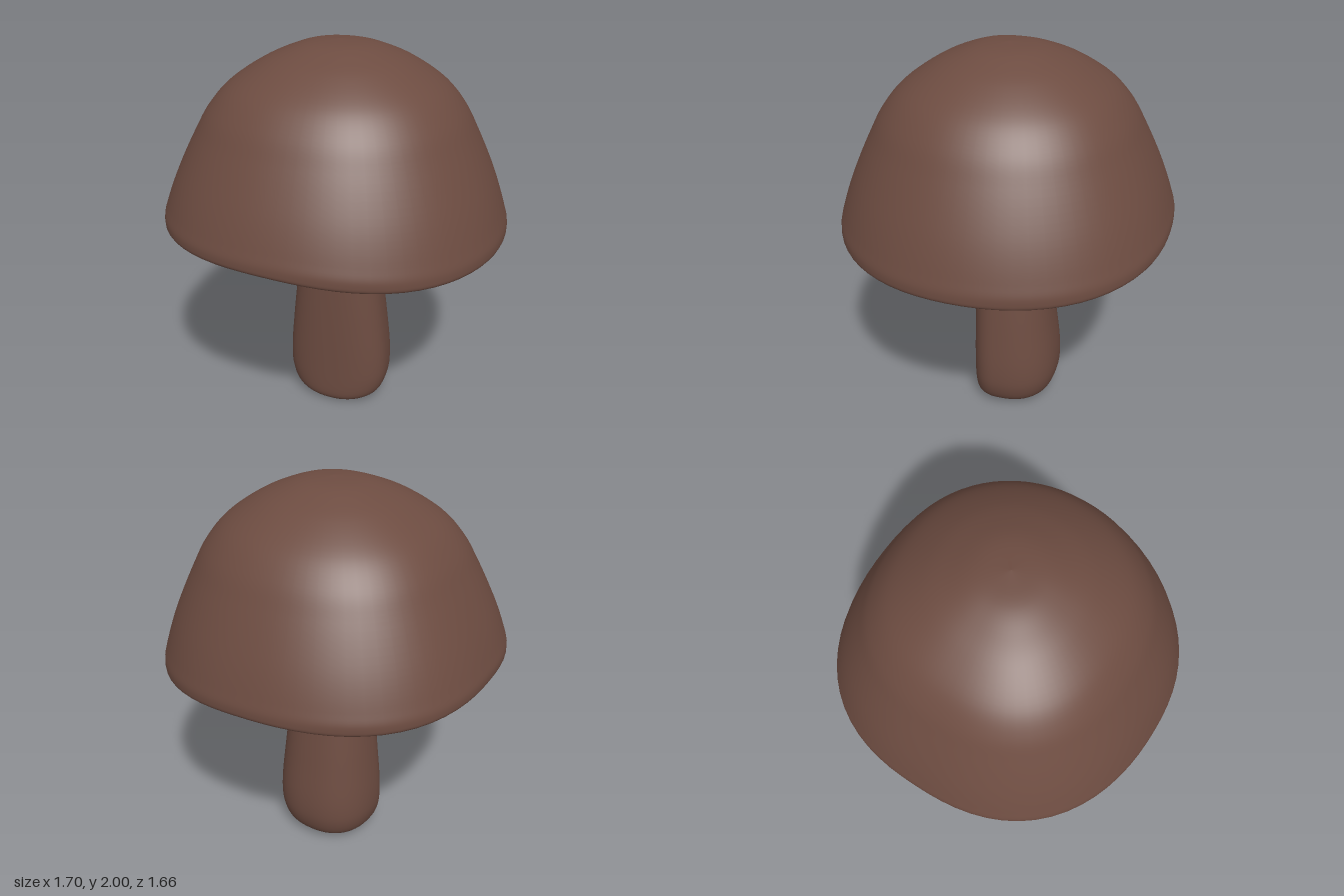
import * as THREE from 'three';

const SEGMENTS = 72;

// Radius of a superellipse with half-axes a and b in direction t
function superRadius(a, b, n, t) {
  const c = Math.abs(Math.cos(t)), s = Math.abs(Math.sin(t));
  if (a < 1e-5 || b < 1e-5) return 0;
  return Math.pow(Math.pow(c / a, n) + Math.pow(s / b, n), -1 / n);
}

// Closed skin over rings running from top to bottom; place(p, t) gives [x, y, z]
function skin(points, steps, place) {
  const rings = new THREE.CatmullRomCurve3(points).getPoints(steps);
  const positions = [], index = [];
  rings.forEach((p, i) => {
    for (let j = 0; j < SEGMENTS; j++) {
      positions.push(...place(p, (j / SEGMENTS) * Math.PI * 2));
      if (i === steps) continue;
      const a = i * SEGMENTS + j, b = i * SEGMENTS + (j + 1) % SEGMENTS;
      index.push(a, b, a + SEGMENTS, b, b + SEGMENTS, a + SEGMENTS);
    }
  });
  const geometry = new THREE.BufferGeometry();
  geometry.setAttribute('position', new THREE.Float32BufferAttribute(positions, 3));
  geometry.setIndex(index);
  geometry.computeVertexNormals();
  return geometry;
}

const toPoints = rows => rows.map(r => new THREE.Vector3(...r));

// Domed cap: radius, height, share of the rim's sag
function capGeometry() {
  const profile = toPoints([
    [0, 2, 0], [0.15, 1.985, 0], [0.26, 1.95, 0], [0.37, 1.9, 0.01], [0.52, 1.8, 0.05],
    [0.61, 1.7, 0.12], [0.68, 1.58, 0.25], [0.77, 1.4, 0.5], [0.83, 1.25, 0.8],
    [0.85, 1.18, 0.95], [0.843, 1.147, 1], [0.805, 1.135, 1], [0.7, 1.135, 0.9],
    [0.5, 1.142, 0.5], [0.25, 1.15, 0.1], [0, 1.15, 0]
  ]);
  return skin(profile, 90, (p, t) => {
    const c = Math.cos(t), r = Math.max(0, p.x);
    const radius = superRadius(r, r * 0.976, 2.24 - 0.14 * c, t);
    // The rim hangs lowest on one side, with a slight wave at the corners
    const sag = 0.07 * ((1 + c) / 2) ** 2 + 0.014 * Math.sin(2 * t) ** 2;
    return [radius * c, p.y - sag * p.z, radius * Math.sin(t)];
  });
}

// Stem: half width, height, depth behind the axis; the front is flatter
function stemGeometry() {
  const profile = toPoints([
    [0.34, 1.17, 0.34], [0.24, 1.135, 0.235], [0.205, 1.08, 0.188], [0.2, 0.95, 0.195],
    [0.225, 0.75, 0.222], [0.255, 0.5, 0.257], [0.277, 0.25, 0.286], [0.271, 0.14, 0.28],
    [0.24, 0.06, 0.25], [0.17, 0.015, 0.185], [0.07, 0, 0.08], [0, 0, 0]
  ]);
  return skin(profile, 66, (p, t) => {
    const a = Math.max(0, p.x);
    const front = 0.165 * (1 - (1 - Math.min(1, a / 0.28)) ** 2);
    const depth = Math.sin(t) > 0 ? front : Math.max(0, p.z);
    const radius = superRadius(a, depth, 2.35, t);
    return [radius * Math.cos(t), Math.max(0, p.y), radius * Math.sin(t)];
  });
}

export function createModel() {
  const group = new THREE.Group();
  group.name = 'mushroom';
  const brown = new THREE.MeshStandardMaterial({ color: 0x6d4c41 });
  brown.name = 'brown';

  const cap = new THREE.Mesh(capGeometry(), brown);
  cap.name = 'cap';
  const stem = new THREE.Mesh(stemGeometry(), brown);
  stem.name = 'stem';
  group.add(cap, stem);
  return group;
}
